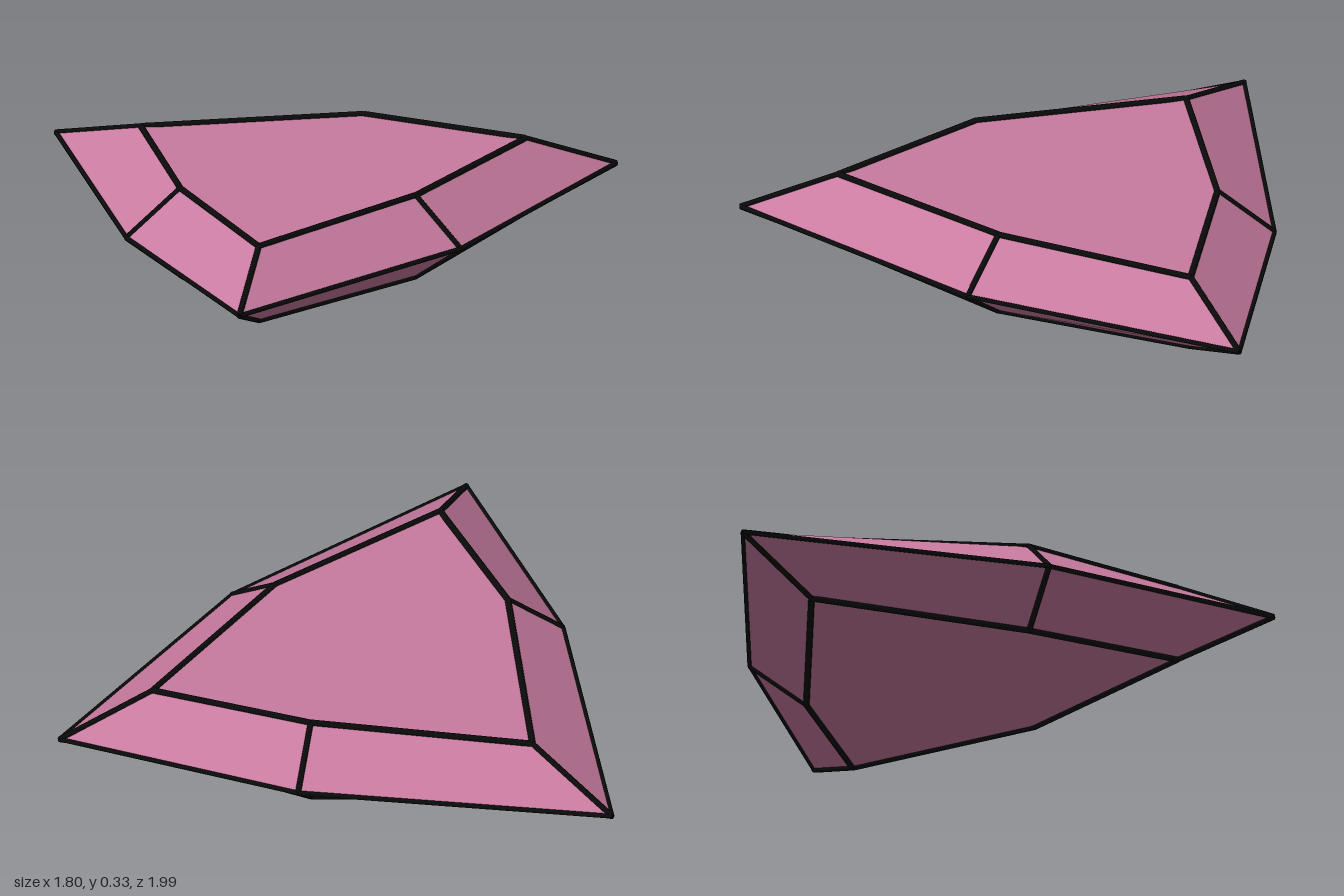
import * as THREE from 'three';

const MID = 0.167;
const UP = new THREE.Vector3(0, 1, 0);

// Half outlines as [x, z, height above the girdle], tip to back, then mirrored in z.
const RIM = [[-0.895, 0, 0], [-0.04, 0.645, 0], [0.75, 0.99, 0], [0.895, 0, 0]];
const TABLE = [[-0.52, 0, 0.11], [0.06, 0.48, 0.156], [0.592, 0.7, 0.133], [0.695, 0, 0.146]];

function ring(half, side) {
  const mirrored = half.slice(1, -1).reverse().map(([x, z, h]) => [x, -z, h]);
  return [...half, ...mirrored].map(([x, z, h]) => new THREE.Vector3(x, MID + side * h, z));
}

// One flat-shaded facet: a fan of triangles sharing the facet's average normal.
function facet(points, positions, normals) {
  const normal = new THREE.Vector3();
  points.forEach((p, i) => normal.add(p.clone().cross(points[(i + 1) % points.length])));
  normal.normalize();
  for (let i = 1; i < points.length - 1; i++) {
    for (const p of [points[0], points[i], points[i + 1]]) {
      positions.push(...p.toArray());
      normals.push(...normal.toArray());
    }
  }
}

function rod(a, b, radius, material, name) {
  const dir = b.clone().sub(a);
  const mesh = new THREE.Mesh(new THREE.CylinderGeometry(radius, radius, dir.length(), 8), material);
  mesh.position.copy(a).add(b).multiplyScalar(0.5);
  mesh.quaternion.setFromUnitVectors(UP, dir.normalize());
  mesh.name = name;
  return mesh;
}

export function createModel() {
  const group = new THREE.Group();
  group.name = 'cutGem';
  const pink = new THREE.MeshStandardMaterial({ color: 0xc97ba0 });
  const black = new THREE.MeshStandardMaterial({ color: 0x0a0a0a });
  const edges = new THREE.Group();
  edges.name = 'facetEdges';

  const rim = ring(RIM, 1);
  const n = rim.length;
  const positions = [], normals = [];

  // Upper and lower halves: a flat table and a belt of sloping facets.
  for (const side of [1, -1]) {
    const table = ring(TABLE, side);
    const add = (pts) => facet(side > 0 ? pts : pts.reverse(), positions, normals);
    add([...table]);
    for (let i = 0; i < n; i++) {
      const j = (i + 1) % n;
      add([rim[i], rim[j], table[j], table[i]]);
      edges.add(rod(table[i], table[j], 0.011, black, 'tableEdge'));
      edges.add(rod(rim[i], table[i], 0.01, black, 'cornerEdge'));
    }
  }
  // Girdle edges
  for (let i = 0; i < n; i++) edges.add(rod(rim[i], rim[(i + 1) % n], 0.008, black, 'girdleEdge'));

  const geometry = new THREE.BufferGeometry();
  geometry.setAttribute('position', new THREE.Float32BufferAttribute(positions, 3));
  geometry.setAttribute('normal', new THREE.Float32BufferAttribute(normals, 3));
  const body = new THREE.Mesh(geometry, pink);
  body.name = 'gemBody';
  group.add(body, edges);
  return group;
}
